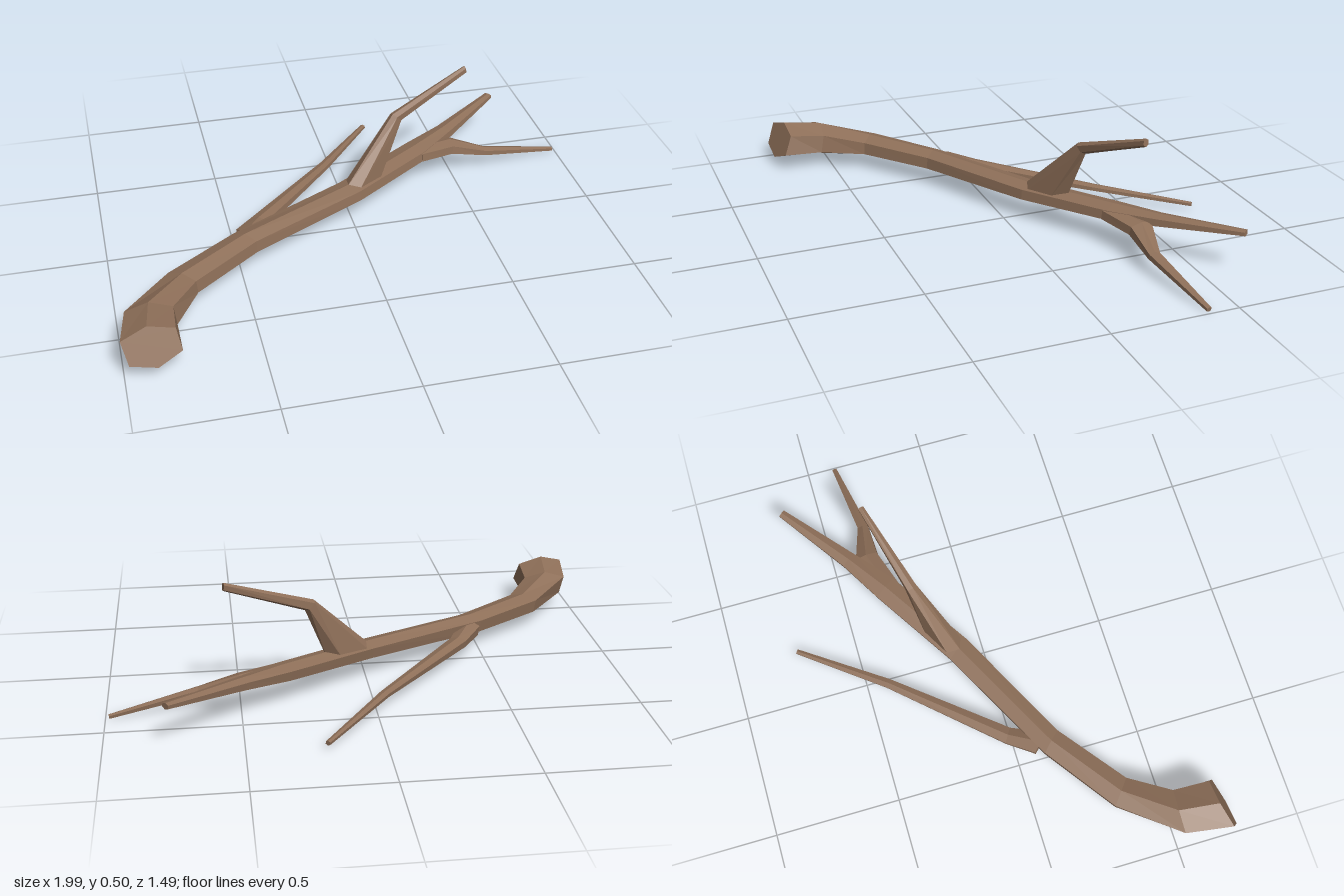
import * as THREE from 'three';

// Uneven six-sided cross-section: x across the limb, y over it
const PROFILE = [[-1, 0.6], [-0.05, 1], [0.9, 0.6], [1, -0.5], [0.1, -1], [-0.85, -0.6]];

// Each ring: x, y, z, half width, half height, tangent x, y, z
function ringPoints([x, y, z, w, h, tx, ty, tz]) {
  const t = new THREE.Vector3(tx, ty, tz).normalize();
  const side = new THREE.Vector3().crossVectors(t, new THREE.Vector3(0, 1, 0)).normalize();
  const up = new THREE.Vector3().crossVectors(side, t);
  return PROFILE.map(([a, b]) =>
    new THREE.Vector3(x, y, z).addScaledVector(side, a * w).addScaledVector(up, b * h));
}

function makeLimb(name, rings, material) {
  const loops = rings.map(ringPoints);
  const n = PROFILE.length;
  const pos = [];
  const tri = (...pts) => pts.forEach((p) => pos.push(p.x, p.y, p.z));
  for (let i = 0; i < loops.length - 1; i++) {
    for (let j = 0; j < n; j++) {
      const k = (j + 1) % n;
      const a = loops[i][j], b = loops[i][k], c = loops[i + 1][k], d = loops[i + 1][j];
      tri(a, b, c);
      tri(a, c, d);
    }
  }
  // Flat cut ends
  const first = loops[0], last = loops[loops.length - 1];
  for (let j = 1; j < n - 1; j++) {
    tri(first[0], first[j + 1], first[j]);
    tri(last[0], last[j], last[j + 1]);
  }
  const geometry = new THREE.BufferGeometry();
  geometry.setAttribute('position', new THREE.Float32BufferAttribute(pos, 3));
  geometry.computeVertexNormals();
  const mesh = new THREE.Mesh(geometry, material);
  mesh.name = name;
  return mesh;
}

export function createModel() {
  const group = new THREE.Group();
  group.name = 'fallenBranch';
  const bark = new THREE.MeshStandardMaterial({ color: 0x8f7059, flatShading: true });
  bark.name = 'bark';

  const limbs = {
    // Thick curved stem, tapering to the far tip
    mainStem: [
      [-0.895, 0.113, 0.708, 0.105, 0.078, -0.17, -0.43, -1],
      [-0.88, 0.102, 0.535, 0.092, 0.067, 0.05, -0.2, -1],
      [-0.74, 0.095, 0.34, 0.064, 0.045, 0.62, 0, -0.78],
      [-0.47, 0.097, 0.14, 0.056, 0.042, 0.7, 0, -0.7],
      [0.005, 0.108, -0.105, 0.057, 0.036, 0.79, 0, -0.61],
      [0.34, 0.124, -0.32, 0.055, 0.033, 0.8, 0.03, -0.6],
      [0.5, 0.137, -0.435, 0.036, 0.025, 0.78, 0.05, -0.63],
      [0.772, 0.165, -0.65, 0.017, 0.012, 0.78, 0.06, -0.63],
    ],
    // Bent twig rising from the middle
    upperTwig: [
      [0.07, 0.125, -0.15, 0.045, 0.105, 0.02, 1, -0.013],
      [0.228, 0.357, -0.235, 0.022, 0.026, 0.65, 0.75, -0.35],
      [0.55, 0.483, -0.34, 0.012, 0.016, 0.9, 0.1, -0.25],
    ],
    // Forked twig drooping to the ground
    sideTwig: [
      [0.34, 0.122, -0.305, 0.045, 0.031, 0.9, 0, -0.35],
      [0.5, 0.112, -0.358, 0.048, 0.03, 1, -0.15, -0.1],
      [0.655, 0.074, -0.338, 0.023, 0.018, 1, -0.2, 0],
      [0.987, 0.011, -0.385, 0.01, 0.009, 1, -0.15, -0.13],
    ],
    // Long thin twig behind
    lowerTwig: [
      [-0.46, 0.092, 0.1, 0.05, 0.035, 0.7, 0, -0.7],
      [-0.39, 0.078, -0.015, 0.035, 0.025, 0.5, -0.03, -0.8],
      [-0.035, 0.055, -0.415, 0.02, 0.013, 0.65, -0.05, -0.75],
      [0.213, 0.03, -0.739, 0.01, 0.009, 0.6, -0.05, -0.8],
    ],
  };
  for (const [name, rings] of Object.entries(limbs)) group.add(makeLimb(name, rings, bark));
  return group;
}
